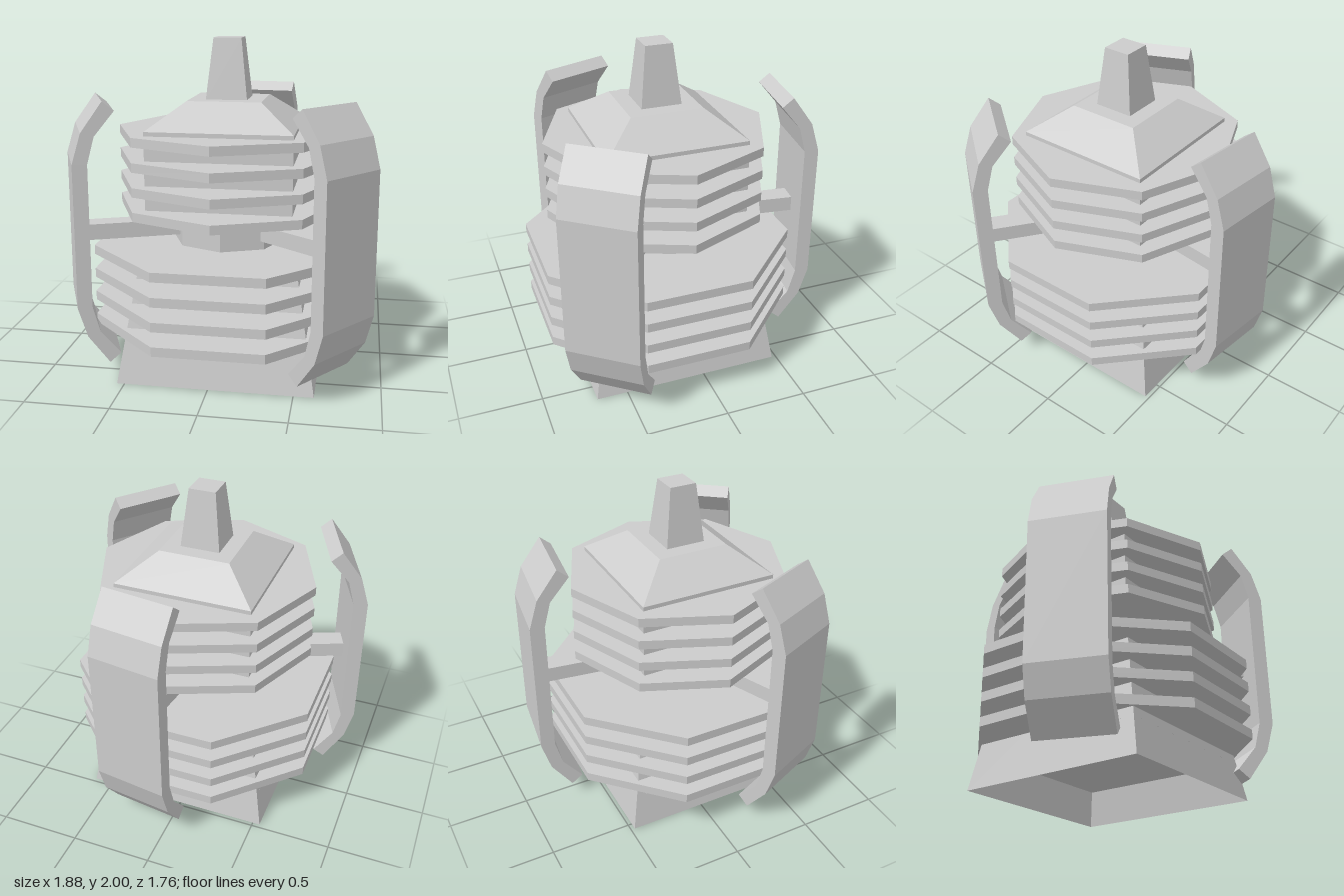
import * as THREE from 'three';

export function createModel() {
  const model = new THREE.Group();
  const grey = new THREE.MeshStandardMaterial({ color: 0xcccccc, flatShading: true, side: THREE.DoubleSide });

  // everything is arranged around this vertical axis
  const core = new THREE.Group();
  core.name = 'tower';
  core.position.set(0.037, 0, 0.107);
  model.add(core);

  const add = (name, geometry, parent = core) => {
    const mesh = new THREE.Mesh(geometry, grey);
    mesh.name = name;
    parent.add(mesh);
    return mesh;
  };

  // prism or frustum between two heights, radii measured to the corners
  const prism = (name, sides, rBottom, rTop, y0, y1, turn = 0, open = false) => {
    const g = new THREE.CylinderGeometry(rTop, rBottom, y1 - y0, sides, 1, open, turn);
    g.translate(0, (y0 + y1) / 2, 0);
    return add(name, g);
  };
  const square = (name, halfBottom, halfTop, y0, y1, open) =>
    prism(name, 4, halfBottom * Math.SQRT2, halfTop * Math.SQRT2, y0, y1, Math.PI / 4, open);

  // hollow tapering base with a recessed underside
  square('base', 0.582, 0.455, 0, 0.75, true);
  const underside = add('baseUnderside', new THREE.PlaneGeometry(1.09, 1.09));
  underside.rotation.x = Math.PI / 2;
  underside.position.y = 0.22;

  // neck, upper block, roof and spire
  prism('neck', 8, 0.35, 0.35, 0.74, 1.0);
  square('upperBlock', 0.428, 0.428, 0.98, 1.485);
  square('roof', 0.428, 0.22, 1.485, 1.64);
  square('spire', 0.123, 0.083, 1.64, 2);

  // two stacks of octagonal fins
  for (let i = 0; i < 4; i++) {
    const low = 0.275 + i * 0.146;
    prism('lowerFin', 8, 0.839, 0.839, low, low + 0.056, Math.PI / 8);
    const high = 0.97 + i * 0.145;
    prism('upperFin', 8, 0.69, 0.69, high, high + 0.055);
  }

  // curved outer guards, each held by a beam; profile is (radius, height from middle)
  const midY = 0.882;
  const outer = [[0.967, 0.428], [0.913, 0.608], [0.787, 0.783]];
  const inner = [[0.72, 0.728], [0.838, 0.585], [0.88, 0.428]];
  const upperHalf = [...outer, ...inner];
  const lowerHalf = upperHalf.map(([r, y]) => [r, -y]).reverse();
  const profile = new THREE.Shape([...upperHalf, ...lowerHalf].map(([r, y]) => new THREE.Vector2(r, y)));

  for (let i = 0; i < 3; i++) {
    const arm = new THREE.Group();
    arm.name = 'guardArm';
    arm.position.y = midY;
    arm.rotation.y = -THREE.MathUtils.degToRad(37.5 + i * 120);
    core.add(arm);

    const guard = new THREE.ExtrudeGeometry(profile, { depth: 0.45, bevelEnabled: false });
    guard.translate(0, 0, -0.225);
    add('guard', guard, arm);

    const beam = new THREE.BoxGeometry(0.78, 0.095, 0.13);
    beam.translate(0.51, -0.014, 0);
    add('beam', beam, arm);
  }
  return model;
}
